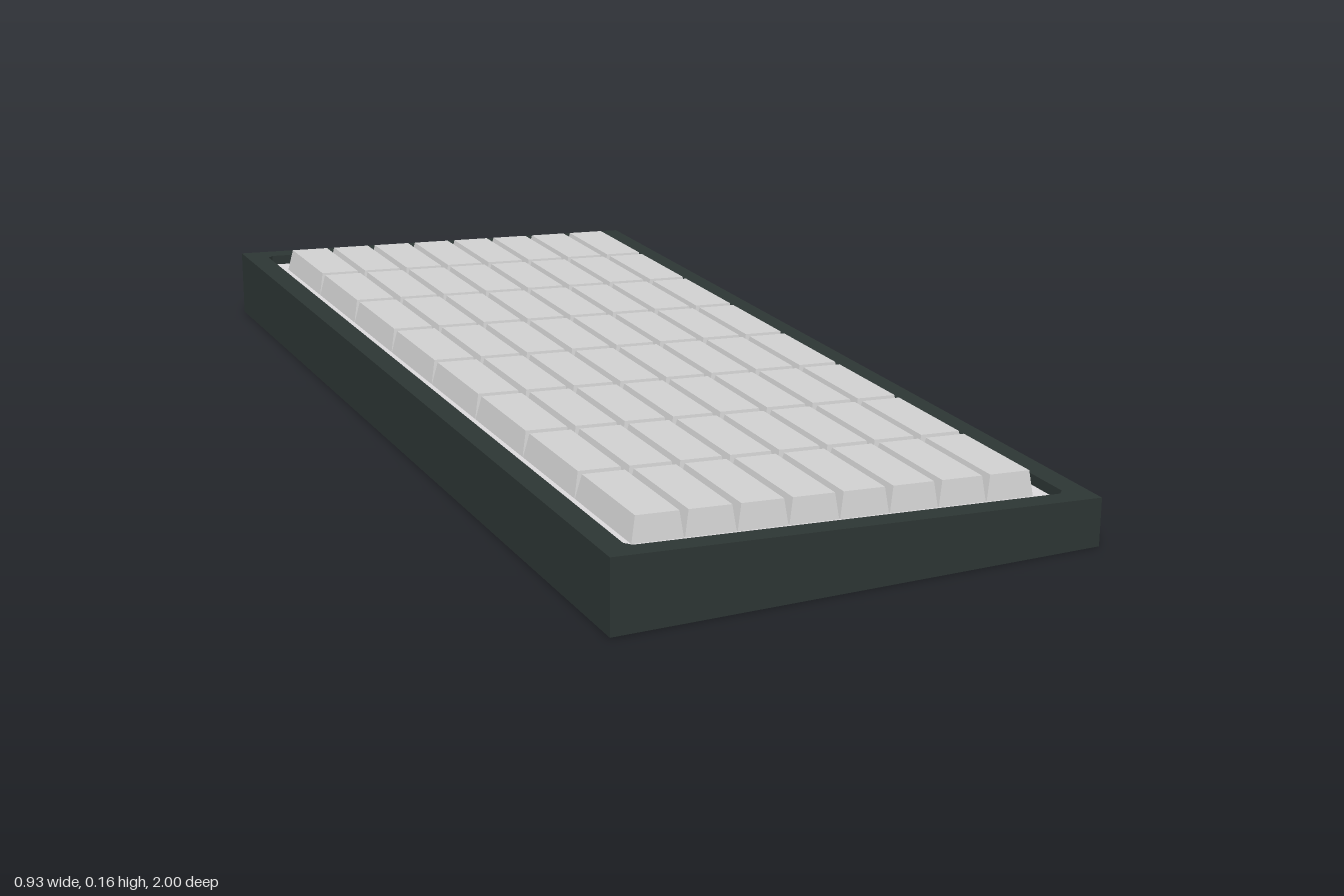
import * as THREE from 'three';

const HALF_X = 0.465, HALF_Z = 1;
const SLOPE = -0.0505;             // top falls from -x to +x
const RECESS = 0.02;               // depth of the key bed below the rim
const rimY = (x) => 0.1135 + SLOPE * x;

// Rectangle outline with cut corners, drawn in x and z
function outline(Type, x, z, cut) {
  const p = [[-x + cut, -z], [x - cut, -z], [x, -z + cut], [x, z - cut],
    [x - cut, z], [-x + cut, z], [-x, z - cut], [-x, -z + cut]];
  const pts = p.map(([a, b]) => new THREE.Vector2(a, b));
  return new Type(cut ? pts : pts.filter((_, i) => i % 2 === 0));
}

// Upright prism whose top and bottom heights follow functions of x
function wedge(shape, bottom, top) {
  const g = new THREE.ExtrudeGeometry(shape, { depth: 1, bevelEnabled: false });
  g.rotateX(-Math.PI / 2);
  const p = g.attributes.position;
  for (let i = 0; i < p.count; i++) {
    const x = p.getX(i);
    p.setY(i, p.getY(i) > 0.5 ? top(x) : bottom(x));
  }
  g.computeVertexNormals();
  return g;
}

// Tapered key with its base at y = 0
function keyGeometry(w, d, h, inset) {
  const g = new THREE.BoxGeometry(w, h, d).toNonIndexed();
  g.translate(0, h / 2, 0);
  const p = g.attributes.position;
  for (let i = 0; i < p.count; i++) {
    if (p.getY(i) > h / 2) {
      p.setX(i, p.getX(i) - Math.sign(p.getX(i)) * inset);
      p.setZ(i, p.getZ(i) - Math.sign(p.getZ(i)) * inset);
    }
  }
  g.computeVertexNormals();
  return g;
}

export function createModel() {
  const model = new THREE.Group();
  model.name = 'keypad';

  const caseMat = new THREE.MeshStandardMaterial({ color: 0x2d3634 });
  caseMat.name = 'dark case';
  const keyMat = new THREE.MeshStandardMaterial({ color: 0xd2d2d2 });
  keyMat.name = 'light grey keys';
  const plateMat = new THREE.MeshStandardMaterial({ color: 0xdcdadc });
  plateMat.name = 'pale key bed';

  const add = (name, geometry, material, parent = model) => {
    const mesh = new THREE.Mesh(geometry, material);
    mesh.name = name;
    parent.add(mesh);
    return mesh;
  };

  // Sloping case with a rectangular opening
  const frame = outline(THREE.Shape, HALF_X, HALF_Z, 0);
  frame.holes.push(outline(THREE.Path, 0.418, 0.96, 0.012));
  add('caseFrame', wedge(frame, () => 0, rimY), caseMat);

  // Flat underside
  const base = new THREE.PlaneGeometry(HALF_X * 2, HALF_Z * 2).rotateX(Math.PI / 2);
  add('caseBottom', base, caseMat);

  // Key bed at the bottom of the recess
  const bed = outline(THREE.Shape, 0.418, 0.96, 0.012);
  add('keyBed', wedge(bed, (x) => rimY(x) - RECESS - 0.01, (x) => rimY(x) - RECESS), plateMat);

  // Eight by eight keys, tilted with the case
  const keys = new THREE.Group();
  keys.name = 'keys';
  keys.position.y = rimY(0) - RECESS;
  keys.rotation.z = Math.atan(SLOPE);
  model.add(keys);
  const pitchX = 0.0967, pitchZ = 0.2275;
  const key = keyGeometry(0.095, 0.2255, 0.046, 0.0075);
  for (let row = 0; row < 8; row++) {
    for (let col = 0; col < 8; col++) {
      const mesh = add(`key${row + 1}_${col + 1}`, key, keyMat, keys);
      mesh.position.set((col - 3.5) * pitchX, 0, (row - 3.5) * pitchZ);
    }
  }
  return model;
}
